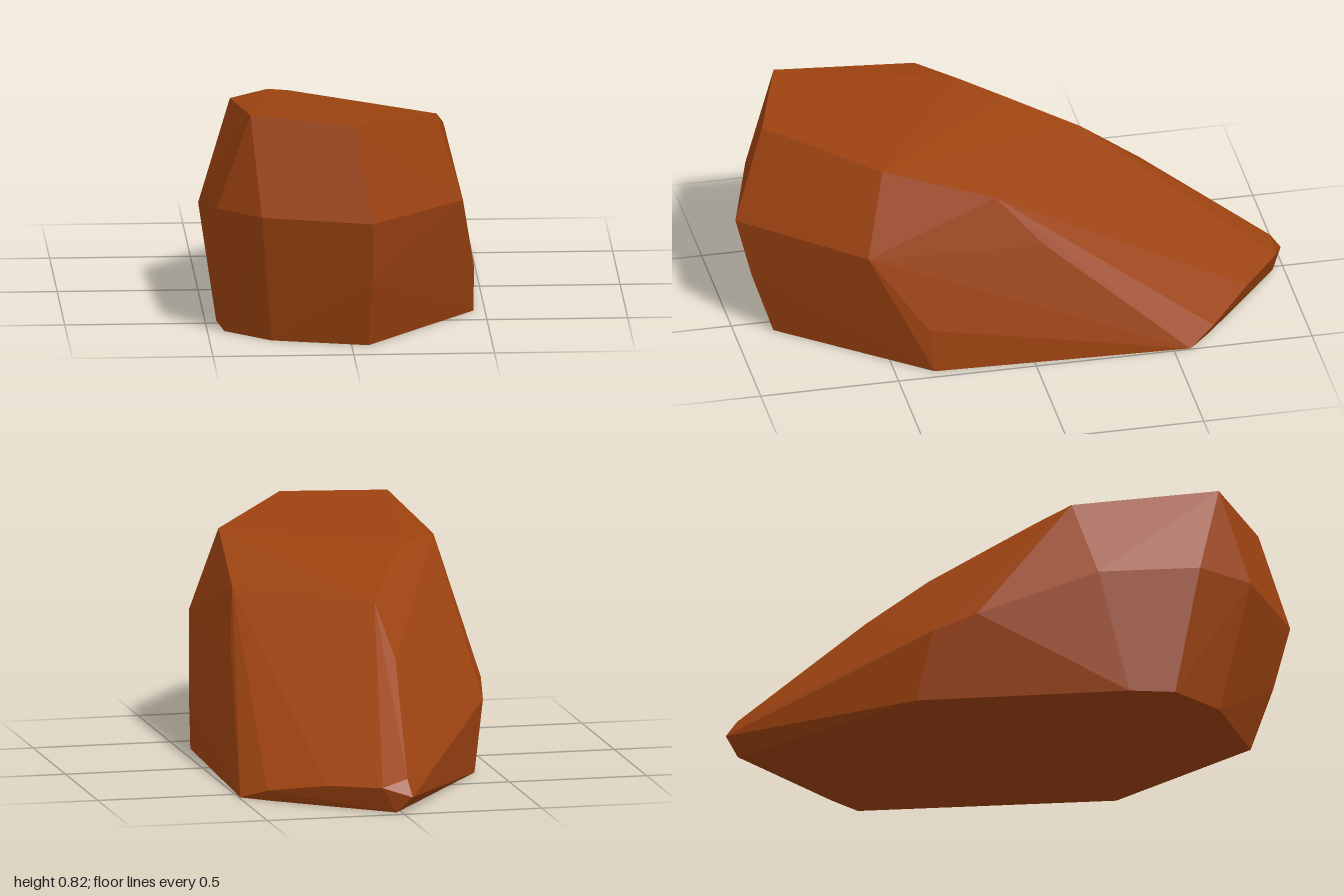
import * as THREE from 'three';
import { ConvexGeometry } from 'three/addons/geometries/ConvexGeometry.js';

// Chiselled boulder: a faceted hull over a few outlines taken from base to crown
const base = [
  [0.06, 0, 0.86], [0.46, 0, 0.36], [0.495, 0, -0.56], [0.4, 0, -0.65], [0.02, 0, -0.96],
  [-0.42, 0, -0.3], [-0.46, 0, 0.46], [-0.44, 0, 0.62], [-0.28, 0, 0.77],
];
const tail = [
  [-0.03, 0.06, -1], [0.07, 0.09, -0.96], [0.24, 0.08, -0.82], [0.42, 0.04, -0.66], [-0.02, 0.12, -0.96],
];
const waist = [
  [0.07, 0.475, 1], [0.41, 0.46, 0.59], [0.46, 0.17, 0.38], [-0.32, 0.475, 0.88], [-0.47, 0.47, 0.71],
  [-0.5, 0.45, 0.35], [-0.495, 0.3, -0.08], [-0.465, 0.25, -0.24], [0.07, 0.24, 0.94],
];
const crown = [
  [0.01, 0.81, 0.89], [0.32, 0.76, 0.52], [0.365, 0.63, 0.12], [0.41, 0.44, -0.05],
  [-0.355, 0.822, 0.77], [-0.4, 0.76, 0.25], [-0.26, 0.76, 0.12], [-0.18, 0.72, -0.02],
  [-0.06, 0.63, -0.28], [-0.085, 0.46, -0.5],
];

export function createModel() {
  const rust = new THREE.MeshStandardMaterial({ color: 0x9c4210 });
  rust.name = 'rustStone';

  const points = [...base, ...tail, ...waist, ...crown].map((p) => new THREE.Vector3(...p));
  const boulder = new THREE.Mesh(new ConvexGeometry(points), rust);
  boulder.name = 'boulder';

  const group = new THREE.Group();
  group.name = 'rock';
  group.add(boulder);
  return group;
}
